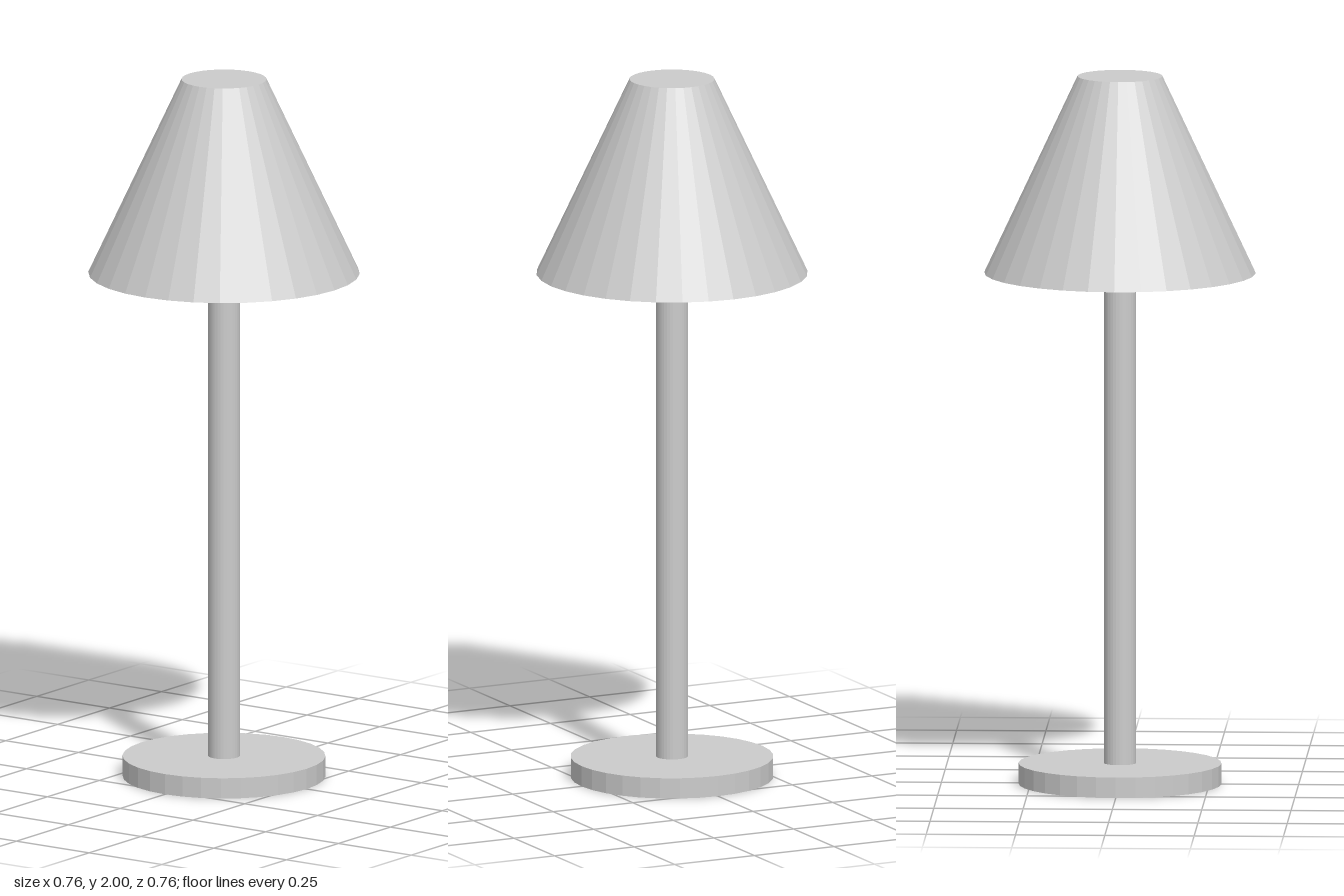
import * as THREE from 'three';

const SIDES = 32;
const POLE_R = 0.045, BASE_R = 0.284, BASE_TOP = 0.058;
const SHADE_R = 0.38, SHADE_TOP_R = 0.119, SHADE_Y = 1.444, TOP = 2;

const material = new THREE.MeshStandardMaterial({
  color: 0xcccccc, flatShading: true, side: THREE.DoubleSide,
});

// Turned part from [radius, height] pairs, listed from bottom to top
function turned(name, profile) {
  const points = profile.map(([r, y]) => new THREE.Vector2(r, y));
  const mesh = new THREE.Mesh(new THREE.LatheGeometry(points, SIDES), material);
  mesh.name = name;
  return mesh;
}

export function createModel() {
  const lamp = new THREE.Group();
  lamp.name = 'tableLamp';

  // Base: hollow underneath, with a hole where the pole joins
  lamp.add(turned('base', [[BASE_R, 0], [BASE_R, BASE_TOP], [POLE_R, BASE_TOP]]));

  // Pole: open tube between base and shade
  lamp.add(turned('pole', [[POLE_R, BASE_TOP], [POLE_R, SHADE_Y]]));

  // Shade: flat underside around the pole, tapered wall, closed top
  lamp.add(turned('shade', [
    [POLE_R, SHADE_Y], [SHADE_R, SHADE_Y], [SHADE_TOP_R, TOP], [0, TOP],
  ]));

  return lamp;
}
